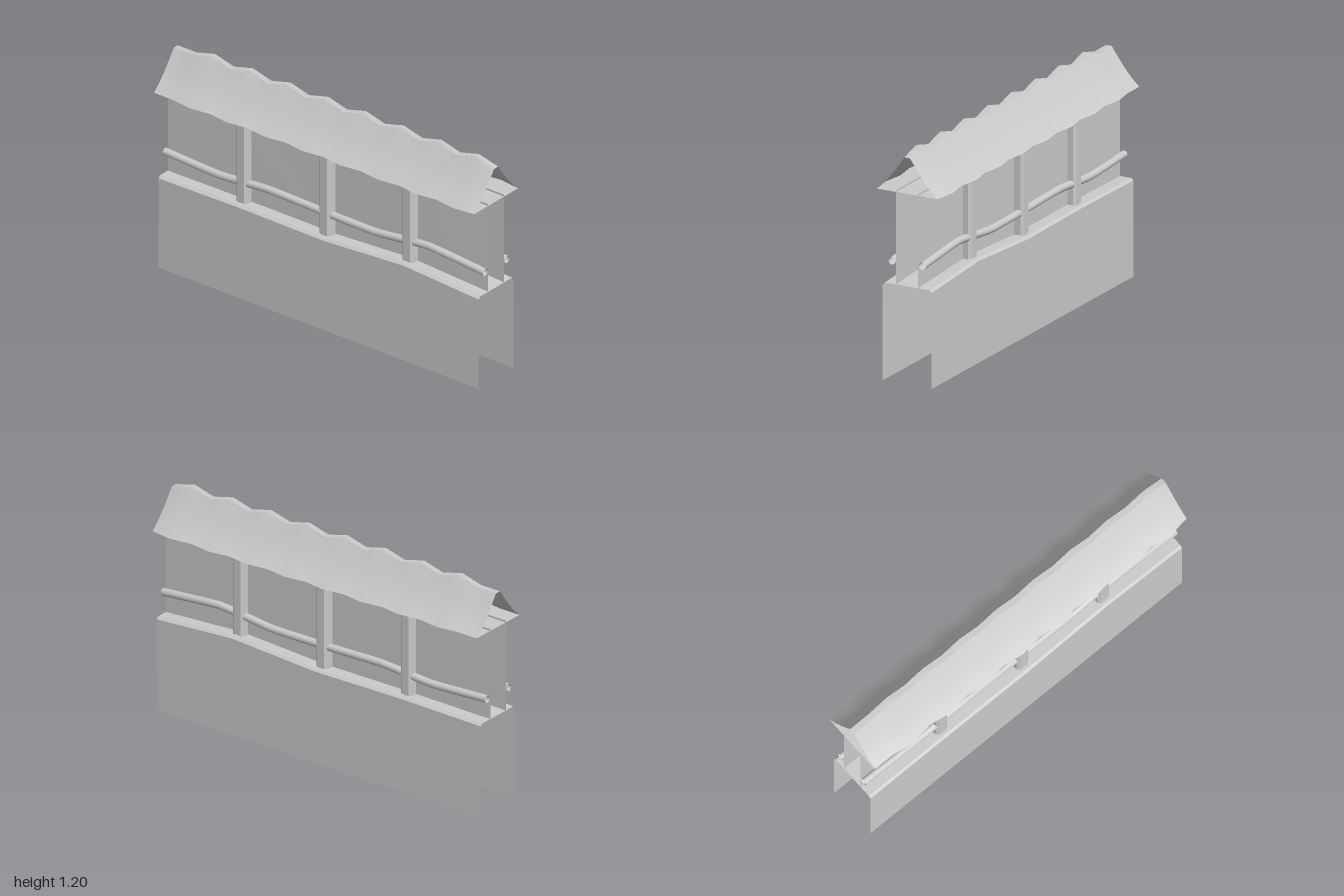
import * as THREE from 'three';
import { toCreasedNormals } from 'three/addons/utils/BufferGeometryUtils.js';

const material = new THREE.MeshStandardMaterial({ color: 0xcccccc, side: THREE.DoubleSide });

function part(name, geometry) {
  const mesh = new THREE.Mesh(geometry, material);
  mesh.name = name;
  return mesh;
}

// Sheet swept along x; profile(i) gives the [z, y] points at station i
function sweep(name, xs, profile, crease = 0.45) {
  const pos = [], index = [];
  const n = profile(0).length;
  xs.forEach((x, i) => {
    profile(i).forEach(([z, y]) => pos.push(x, y, z));
    if (i === xs.length - 1) return;
    for (let j = 0; j < n - 1; j++) {
      const a = i * n + j, b = a + n;
      index.push(a, b, a + 1, b, b + 1, a + 1);
    }
  });
  const g = new THREE.BufferGeometry();
  g.setAttribute('position', new THREE.Float32BufferAttribute(pos, 3));
  g.setIndex(index);
  return part(name, toCreasedNormals(g, crease));
}

// Complete a +z half profile with its mirror image
const mirrored = (half) => [...half, ...half.slice().reverse().map(([z, y]) => [-z, y])];

export function createModel() {
  const model = new THREE.Group();
  model.name = 'roofedWall';

  // Lower wall: two tall faces joined by a bevelled, gently uneven ledge
  const baseX = [-1, -0.5, 0.03, 0.53, 1];
  const baseY = [0.505, 0.511, 0.505, 0.535, 0.505];
  model.add(sweep('lowerWall', baseX, (i) => mirrored([
    [0.137, 0], [0.137, baseY[i] - 0.012], [0.125, baseY[i]],
  ])));

  // Scalloped roof: odd stations are peaks, even stations valleys
  const roofX = [-1];
  for (let i = 0; i <= 16; i++) roofX.push(-0.885 + i * 1.885 / 16);
  const peak = (i) => (i > 0 && i % 2 === 0 ? 1 : 0);
  const eave = (i) => 0.17 + 0.017 * peak(i);
  model.add(sweep('roof', roofX, (i) => {
    const top = 1.165 + 0.03 * peak(i), e = eave(i), w = 0.016;
    const at = (u, v) => [w + (e - w) * u, 0.98 + (top - 0.98) * v];
    return mirrored([at(1, 0), at(0.72, 0.22), at(0.46, 0.47), at(0.22, 0.74), at(0, 1)]);
  }, 0.5));
  model.add(sweep('roofUnderside', roofX, (i) => [[-eave(i), 0.98], [eave(i), 0.98]]));

  // Chamfered post outline
  const w = 0.036, c = 0.014;
  const outline = new THREE.Shape([
    [w, -w + c], [w, w - c], [w - c, w], [-w + c, w],
    [-w, w - c], [-w, -w + c], [-w + c, -w], [w - c, -w],
  ].map(([x, y]) => new THREE.Vector2(x, y)));
  const postGeometry = new THREE.ExtrudeGeometry(outline, { depth: 0.495, bevelEnabled: false });
  postGeometry.rotateX(-Math.PI / 2);

  // Upper panels, posts and rails on both faces
  const panelX = [-1, -0.5, 0, 0.5, 1], panelZ = [0.062, 0.066, 0.06, 0.066, 0.062];
  const railPoints = [
    [-1, 0.621, 0.085], [-0.67, 0.605, 0.085], [-0.52, 0.613, 0.083], [-0.35, 0.627, 0.085],
    [0.03, 0.617, 0.082], [0.32, 0.617, 0.085], [0.5, 0.635, 0.083], [0.66, 0.65, 0.085],
    [1, 0.622, 0.085],
  ];
  for (const s of [1, -1]) {
    const side = new THREE.Group();
    side.name = s > 0 ? 'frontFace' : 'backFace';
    side.add(sweep('upperPanel', panelX, (i) => {
      const ends = [[s * panelZ[i], 0.5], [s * panelZ[i], 0.99]];
      return s > 0 ? ends : ends.reverse();
    }));
    for (const x of [-0.51, 0.01, 0.527]) {
      const post = part('post', postGeometry);
      post.position.set(x, 0.5, s * 0.073);
      side.add(post);
    }
    const curve = new THREE.CatmullRomCurve3(
      railPoints.map(([x, y, z]) => new THREE.Vector3(x, y, s * z)), false, 'catmullrom', 0.2);
    side.add(part('rail', new THREE.TubeGeometry(curve, 40, 0.02, 10)));
    model.add(side);
  }
  return model;
}
